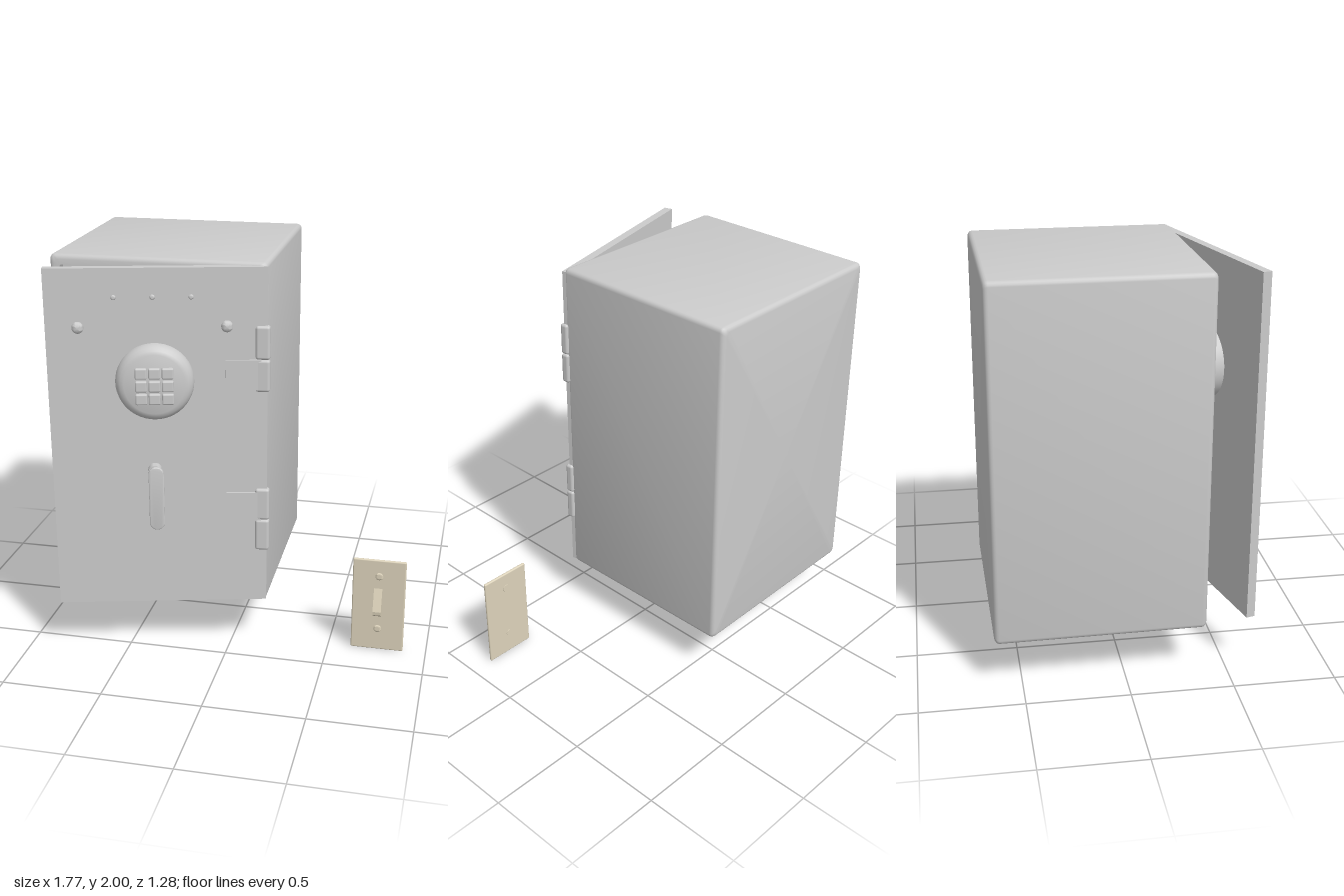
import * as THREE from 'three';
import { toCreasedNormals } from 'three/addons/utils/BufferGeometryUtils.js';
import { RoundedBoxGeometry } from 'three/addons/geometries/RoundedBoxGeometry.js';

const grey = new THREE.MeshStandardMaterial({ color: 0xcccccc });
const tan = new THREE.MeshStandardMaterial({ color: 0xddd3bb });

function add(parent, name, geometry, x, y, z, material = grey) {
  const mesh = new THREE.Mesh(geometry, material);
  mesh.name = name;
  mesh.position.set(x, y, z);
  parent.add(mesh);
  return mesh;
}

// Rounded rectangle outline, counter-clockwise
function rectRing(hw, hh, r, z) {
  const pts = [];
  for (let c = 0; c < 4; c++) {
    const sx = c === 0 || c === 3 ? 1 : -1, sy = c < 2 ? 1 : -1;
    for (let k = 0; k <= 4; k++) {
      const a = (c + k / 4) * Math.PI / 2;
      pts.push([sx * (hw - r) + r * Math.cos(a), sy * (hh - r) + r * Math.sin(a), z]);
    }
  }
  return pts;
}

// Hollow cabinet: outside from back to front, round the rim and into the cavity
function cabinetGeometry(w, h, d) {
  const b = 0.024, hd = d / 2, rings = [rectRing(0, 0, 0, -hd)];
  const ring = (inset, z, r) => rings.push(rectRing(w / 2 - inset, h / 2 - inset, r, z));
  for (let k = 0; k <= 4; k++) {
    const a = k / 4 * Math.PI / 2;
    ring(b * (1 - Math.sin(a)), -hd + b * (1 - Math.cos(a)), b);
  }
  for (let k = 0; k <= 4; k++) {
    const a = k / 4 * Math.PI / 2;
    ring(b * (1 - Math.cos(a)), hd - b * (1 - Math.sin(a)), b);
  }
  ring(0.05, hd, 0.01);
  ring(0.05, hd - 0.05, 0.01);
  ring(0.085, hd - 0.05, 0.01);
  ring(0.085, -hd + 0.085, 0.01);
  rings.push(rectRing(0, 0, 0, -hd + 0.085));

  const n = rings[0].length, index = [];
  for (let i = 0; i < rings.length - 1; i++) {
    for (let j = 0; j < n; j++) {
      const a = i * n + j, e = i * n + (j + 1) % n;
      index.push(a, e, e + n, a, e + n, a + n);
    }
  }
  const geo = new THREE.BufferGeometry();
  geo.setAttribute('position', new THREE.Float32BufferAttribute(rings.flat(2), 3));
  geo.setIndex(index);
  return toCreasedNormals(geo, 0.6);
}

// Turned shape whose axis points to +z
function turned(points, segments = 32, crease = 0.6) {
  const geo = new THREE.LatheGeometry(points.map(([r, z]) => new THREE.Vector2(r, z)), segments);
  return toCreasedNormals(geo.rotateX(Math.PI / 2), crease);
}

const dome = (r, height, back) => turned([
  [0, back], [r, back], [r, height * 0.3], [r * 0.85, height * 0.65], [r * 0.5, height * 0.92], [0, height],
], 20, 0.8);

function buildDoor() {
  const door = new THREE.Group();
  door.name = 'door';
  add(door, 'doorPanel', new THREE.BoxGeometry(1.04, 1.715, 0.044), -0.52, 1.1275, -0.0115);

  // Keypad housing passes through the panel
  add(door, 'keypadHousing', turned([
    [0, -0.088], [0.187, -0.088], [0.187, 0.02], [0.184, 0.036], [0.176, 0.052],
    [0.163, 0.064], [0.145, 0.071], [0, 0.074],
  ], 48), -0.535, 1.44, 0);
  for (let row = -1; row <= 1; row++) {
    for (let col = -1; col <= 1; col++) {
      add(door, 'keypadButton', new RoundedBoxGeometry(0.056, 0.054, 0.024, 2, 0.008),
        -0.535 + col * 0.063, 1.434 + row * 0.063, 0.076);
    }
  }

  // Studs and indicator lights
  for (const x of [-0.8875, -0.191]) add(door, 'stud', dome(0.028, 0.026, -0.005), x, 1.705, 0.0105);
  for (const x of [-0.717, -0.537, -0.357]) add(door, 'indicatorLight', dome(0.012, 0.012, -0.005), x, 1.847, 0.0105);

  // Lever handle
  const lever = new THREE.Shape();
  lever.absarc(0, 0, 0.032, 0, Math.PI, false);
  lever.absarc(0, -0.255, 0.032, Math.PI, Math.PI * 2, false);
  lever.closePath();
  const leverGeo = new THREE.ExtrudeGeometry(lever, {
    depth: 0.01, bevelThickness: 0.005, bevelSize: 0.005, bevelSegments: 3, curveSegments: 12,
  });
  add(door, 'handleLever', toCreasedNormals(leverGeo, 0.6), -0.539, 0.983, 0.053);
  add(door, 'handleBoss', turned([[0, 0], [0.034, 0], [0.034, 0.056], [0, 0.056]]), -0.545, 0.989, 0);

  // Hinge leaves lie on the door face
  for (const y of [1.465, 0.787]) {
    add(door, 'hingeLeaf', new THREE.BoxGeometry(0.17, 0.15, 0.03), -0.114, y, 0.007);
  }
  door.position.set(0.185, 0, 0.37);
  door.rotation.y = 0.25;
  return door;
}

function buildHinges() {
  const hinges = new THREE.Group();
  hinges.name = 'hinges';
  for (const [low, split, high] of [[1.38, 1.54, 1.705], [0.55, 0.715, 0.88]]) {
    for (const [a, b] of [[low, split], [split, high]]) {
      const knuckle = add(hinges, 'hingeKnuckle',
        new RoundedBoxGeometry(0.07, b - a, 0.044, 3, 0.014), 0.165, (a + b) / 2, 0.379);
      knuckle.rotation.y = 0.1;
    }
  }
  return hinges;
}

function buildSwitch() {
  const wall = new THREE.Group();
  wall.name = 'lightSwitch';
  add(wall, 'switchPlate', new RoundedBoxGeometry(0.268, 0.503, 0.016, 3, 0.007), 0, 0, 0, tan);
  for (const y of [0.163, -0.132]) add(wall, 'plateScrew', dome(0.02, 0.008, -0.018), 0, y, 0.007, tan);

  // Toggle: wedge profile in z and y, extruded across x
  const wedge = new THREE.Shape();
  wedge.moveTo(-0.004, 0.095);
  wedge.lineTo(0.008, 0.095);
  wedge.lineTo(0.046, -0.02);
  wedge.lineTo(0.044, -0.038);
  wedge.lineTo(0.006, -0.063);
  wedge.lineTo(-0.004, -0.063);
  const geo = new THREE.ExtrudeGeometry(wedge, { depth: 0.042, bevelEnabled: false });
  geo.translate(0, 0, -0.021).rotateY(-Math.PI / 2);
  add(wall, 'switchToggle', geo, -0.003, 0, 0, tan);
  wall.position.set(0.75, 0.2525, 0.291);
  return wall;
}

export function createModel() {
  const model = new THREE.Group();
  model.name = 'safeAndSwitch';
  const cabinet = add(model, 'cabinet', cabinetGeometry(1.06, 1.745, 1.02), -0.352, 1.1275, -0.127);
  cabinet.rotation.y = 0.0115;
  model.add(buildDoor(), buildHinges(), buildSwitch());
  return model;
}
